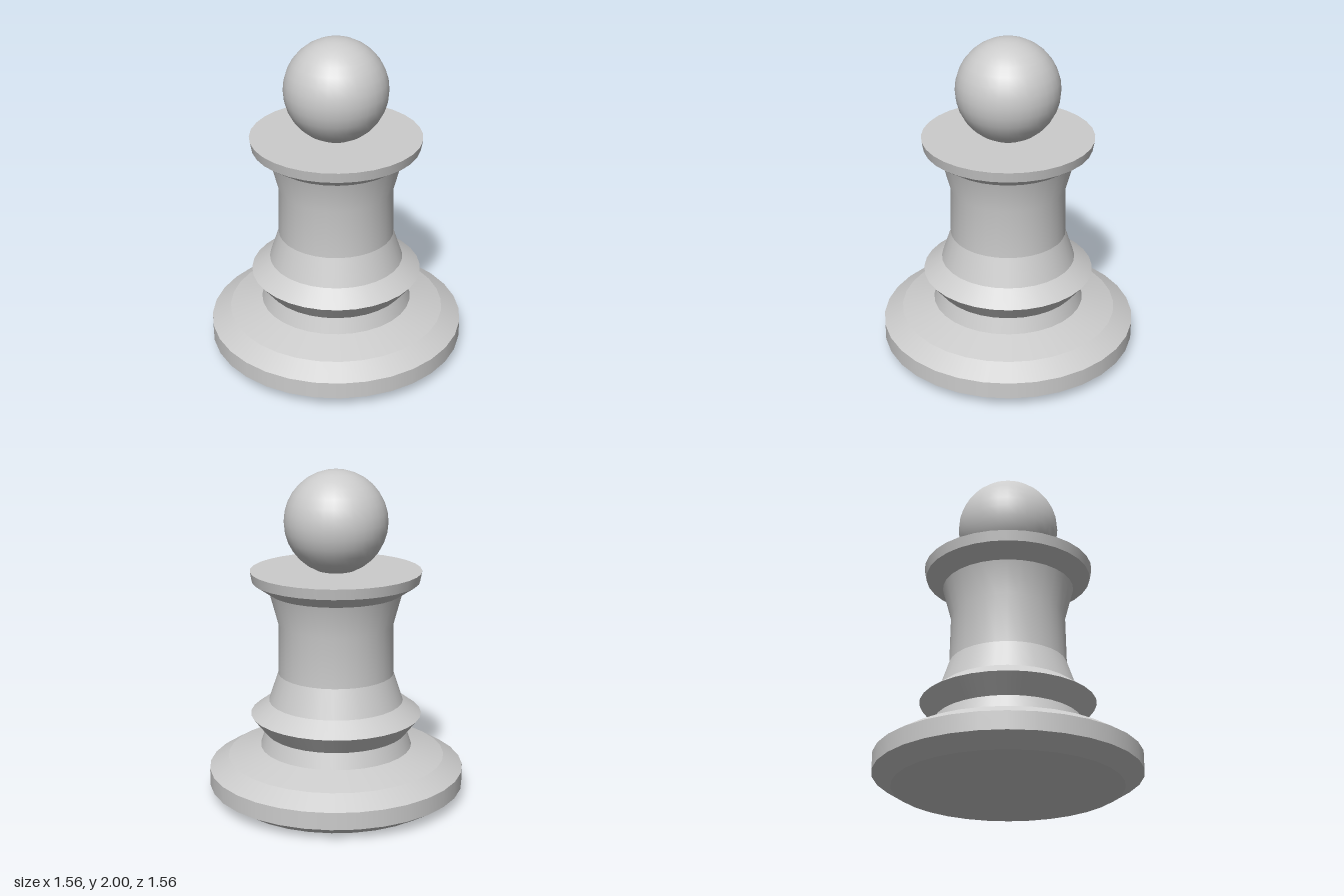
import * as THREE from 'three';
import { mergeGeometries } from 'three/addons/utils/BufferGeometryUtils.js';

const SIDES = 32;
const material = new THREE.MeshStandardMaterial({ color: 0xcccccc });

// Each band is a smooth lathe; the edges between bands stay sharp.
function turned(name, bands) {
  const parts = bands.map((band) =>
    new THREE.LatheGeometry(band.map(([r, y]) => new THREE.Vector2(r, y)), SIDES));
  const mesh = new THREE.Mesh(mergeGeometries(parts), material);
  mesh.name = name;
  return mesh;
}

// Splits a profile into one sharp-edged band per pair of points.
const sharp = (points) => points.slice(1).map((p, i) => [points[i], p]);

export function createModel() {
  const group = new THREE.Group();
  group.name = 'pawn';

  // Wide foot with bevelled rim
  group.add(turned('base', sharp([
    [0, 0], [0.67, 0], [0.782, 0.07], [0.782, 0.175], [0.665, 0.245], [0.465, 0.305],
  ])));

  // Tapered neck and pointed ring above the foot
  group.add(turned('lowerRing', sharp([
    [0.465, 0.305], [0.435, 0.4], [0.522, 0.51], [0.41, 0.592],
  ])));

  // Waisted shaft, softly flared towards the top
  group.add(turned('shaft', [
    [[0.41, 0.592], [0.352, 0.765]],
    [[0.352, 0.765], [0.347, 1.07], [0.4, 1.267]],
  ]));

  // Flat collar under the head
  group.add(turned('collar', sharp([
    [0.4, 1.267], [0.503, 1.337], [0.515, 1.4], [0, 1.4],
  ])));

  // Ball head
  const head = new THREE.Mesh(new THREE.SphereGeometry(0.31, SIDES, 16), material);
  head.name = 'head';
  head.position.y = 1.69;
  group.add(head);

  return group;
}
